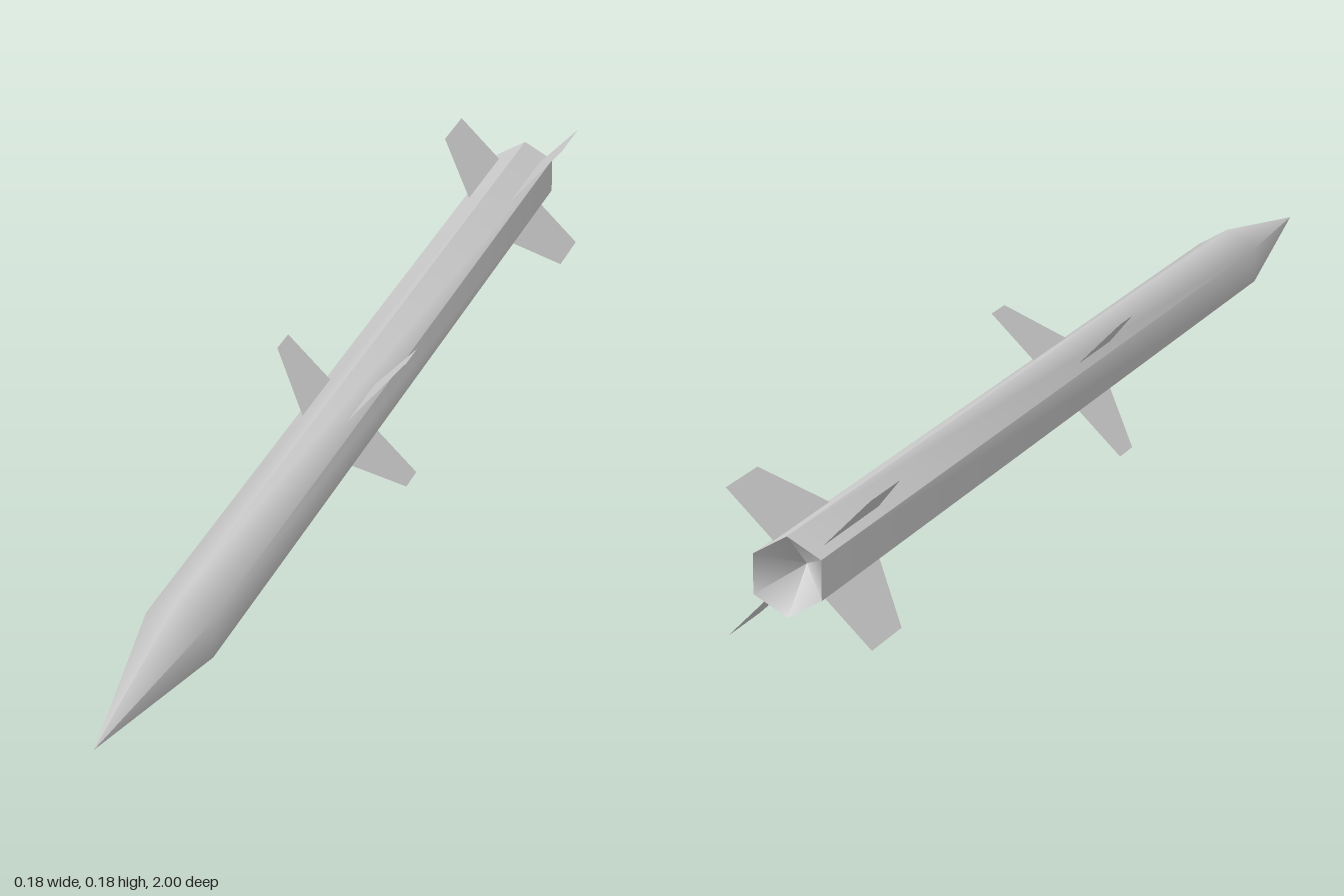
import * as THREE from 'three';

const AXIS_Y = 0.09, RADIUS = 0.049, SHOULDER = 0.68, TAIL = -1;

// Six-sided section along z: faceted, but blended smooth around the shoulder ring
function hexSection(frontRadius, rearRadius, zFront, zRear) {
  const length = zFront - zRear;
  const geo = new THREE.CylinderGeometry(frontRadius, rearRadius, length, 6, 1, true)
    .rotateX(Math.PI / 2)
    .translate(0, 0, (zFront + zRear) / 2)
    .toNonIndexed();
  geo.computeVertexNormals();
  const p = geo.attributes.position, n = geo.attributes.normal;
  const v = new THREE.Vector3();
  for (let i = 0; i < p.count; i++) {
    if (Math.abs(p.getZ(i) - SHOULDER) > 1e-4) continue;
    v.set(p.getX(i), p.getY(i), RADIUS * 0.08).normalize();
    n.setXYZ(i, v.x, v.y, v.z);
  }
  return geo;
}

// Flat fin, root chord along the body, swept leading edge; x is radial, y runs forward
function finGeometry(rootFront, tipFront, rear) {
  const root = 0.043, tip = 0.127;
  const shape = new THREE.Shape([
    new THREE.Vector2(root, rear),
    new THREE.Vector2(tip, rear),
    new THREE.Vector2(tip, tipFront),
    new THREE.Vector2(root, rootFront),
  ]);
  return new THREE.ShapeGeometry(shape).rotateX(Math.PI / 2);
}

export function createModel() {
  const model = new THREE.Group();
  model.name = 'missile';
  const skin = new THREE.MeshStandardMaterial({ color: 0xcccccc });
  const thin = new THREE.MeshStandardMaterial({ color: 0xcccccc, side: THREE.DoubleSide });

  const add = (name, geo, mat, parent = model) => {
    const mesh = new THREE.Mesh(geo, mat);
    mesh.name = name;
    parent.add(mesh);
    return mesh;
  };

  // Body and pointed nose
  add('body', hexSection(RADIUS, RADIUS, SHOULDER, TAIL), skin);
  add('nose', hexSection(0, RADIUS, 1, SHOULDER), skin);

  // Hollow exhaust at the tail
  const exhaust = new THREE.ConeGeometry(RADIUS, 0.06, 6, 1, true)
    .rotateX(Math.PI / 2)
    .translate(0, 0, TAIL + 0.03);
  add('exhaust', exhaust, thin);

  // Two sets of four diagonal fins
  const sets = [
    ['midFin', 0.06, -0.02, -0.07],
    ['tailFin', -0.79, -0.87, -0.965],
  ];
  for (const [name, rootFront, tipFront, rear] of sets) {
    const group = new THREE.Group();
    group.name = name + 's';
    const geo = finGeometry(rootFront, tipFront, rear);
    for (let i = 0; i < 4; i++) {
      add(name, geo, thin, group).rotation.z = Math.PI / 4 + i * Math.PI / 2;
    }
    model.add(group);
  }

  model.position.y = AXIS_Y;
  const root = new THREE.Group();
  root.add(model);
  return root;
}
